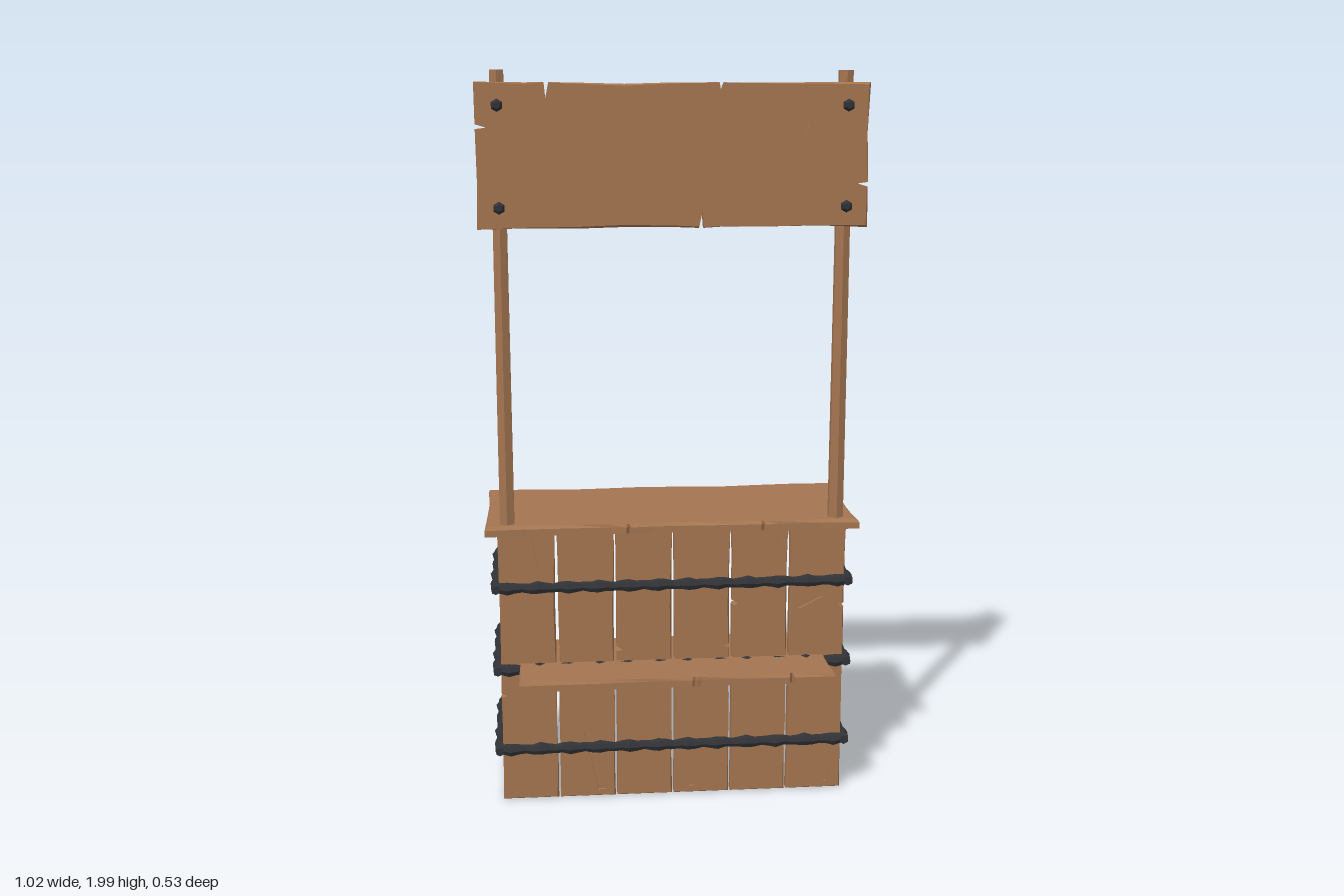
import * as THREE from 'three';
import { mergeGeometries } from 'three/addons/utils/BufferGeometryUtils.js';

const wood = new THREE.MeshStandardMaterial({ color: 0xa47551 });
wood.name = 'wood';
const iron = new THREE.MeshStandardMaterial({ color: 0x303236 });
iron.name = 'dark iron';

// small seeded random
let seed = 7;
const rand = () => {
  seed = (seed * 16807) % 2147483647;
  return seed / 2147483647;
};

// uneven board outline; notches are [side, position 0..1, depth], sides: 0 bottom, 1 right, 2 top, 3 left
function boardOutline(w, h, jitter, notches) {
  const corners = [[-w / 2, -h / 2], [w / 2, -h / 2], [w / 2, h / 2], [-w / 2, h / 2]];
  const points = [];
  for (let side = 0; side < 4; side++) {
    const a = corners[side], b = corners[(side + 1) % 4];
    const len = Math.hypot(b[0] - a[0], b[1] - a[1]);
    const dir = [(b[0] - a[0]) / len, (b[1] - a[1]) / len];
    const steps = Math.max(1, Math.round(len / 0.12));
    const marks = [];
    for (let i = 0; i < steps; i++) marks.push([i * len / steps, i ? rand() * jitter : 0]);
    for (const [s, t, depth] of notches) {
      if (s !== side) continue;
      const at = t * len, half = 0.006;
      for (let i = marks.length - 1; i > 0; i--) if (Math.abs(marks[i][0] - at) < 0.015) marks.splice(i, 1);
      marks.push([at - half, 0.001], [at + half * 0.4, depth], [at + half, 0.001]);
    }
    marks.sort((p, q) => p[0] - q[0]);
    for (const [d, inset] of marks) {
      points.push(new THREE.Vector2(a[0] + dir[0] * d - dir[1] * inset, a[1] + dir[1] * d + dir[0] * inset));
    }
  }
  return points;
}

// board lying in xy, thickness along z, worn front rim, optional sunken cracks
function board(name, w, h, depth, { jitter = 0.003, chip = 0.005, notches = [], cracks = [] } = {}) {
  const outline = boardOutline(w, h, jitter, notches);
  const skin = Math.min(0.008, depth * 0.4);
  const layer = (thickness, holes) => {
    const shape = new THREE.Shape(outline);
    for (const c of holes) shape.holes.push(new THREE.Path(c.map(([x, y]) => new THREE.Vector2(x, y))));
    return new THREE.ExtrudeGeometry(shape, { depth: thickness, bevelEnabled: false });
  };
  const back = layer(depth - skin, []);
  back.translate(0, 0, -depth / 2);
  const front = layer(skin, cracks);
  front.translate(0, 0, depth / 2 - skin);
  const p = front.attributes.position;
  for (let i = 0; i < p.count; i++) {
    if (p.getZ(i) < depth / 2 - 1e-4) continue;
    const x = p.getX(i), y = p.getY(i);
    const wear = chip * (0.55 + 0.45 * Math.sin(x * 41 + y * 67));
    if (Math.abs(x) > w / 2 - jitter - 0.002) p.setX(i, x - Math.sign(x) * wear);
    if (Math.abs(y) > h / 2 - jitter - 0.002) p.setY(i, y - Math.sign(y) * wear);
  }
  const geometry = mergeGeometries([back, front]);
  geometry.computeVertexNormals();
  const mesh = new THREE.Mesh(geometry, wood);
  mesh.name = name;
  return mesh;
}

// faceted iron rod along y with swollen joints
function ironRod(name, length) {
  const joints = Math.round(length / 0.085);
  const rows = joints * 4;
  const g = new THREE.CylinderGeometry(1, 1, length, 7, rows);
  const p = g.attributes.position;
  for (let i = 0; i < p.count; i++) {
    const row = Math.round((p.getY(i) / length + 0.5) * rows);
    const r = row % 4 === 2 ? 0.018 : row % 4 === 0 ? 0.0125 : 0.0145;
    const wobble = Math.sin(row * 2.3) * 0.0015;
    p.setX(i, p.getX(i) * r + wobble);
    p.setZ(i, p.getZ(i) * r);
  }
  const flat = g.toNonIndexed();
  flat.computeVertexNormals();
  const mesh = new THREE.Mesh(flat, iron);
  mesh.name = name;
  return mesh;
}

function facetedCylinder(name, rTop, rBottom, height, sides, material) {
  const g = new THREE.CylinderGeometry(rTop, rBottom, height, sides).toNonIndexed();
  g.computeVertexNormals();
  const mesh = new THREE.Mesh(g, material);
  mesh.name = name;
  return mesh;
}

export function createModel() {
  const model = new THREE.Group();
  model.name = 'market stall';
  const place = (mesh, x, y, z) => {
    mesh.position.set(x, y, z);
    model.add(mesh);
    return mesh;
  };

  // front wall of six planks
  const H = 0.782, midY = 0.006 + H / 2;
  const frontCracks = [
    [[[0.015, 0.37], [0.03, 0.29], [0.022, 0.37]]],
    [[[0.03, -0.37], [-0.01, -0.2], [-0.004, -0.2], [0.05, -0.37]], [[-0.06, 0.37], [-0.05, 0.3], [-0.045, 0.37]]],
    [[[0.07, -0.12], [0.03, -0.11], [0.07, -0.135]]],
    [[[-0.035, -0.37], [-0.015, -0.33], [-0.02, -0.37]]],
    [[[0.03, 0.37], [0.045, 0.33], [0.05, 0.37]]],
    [[[-0.06, 0.17], [0.02, 0.185], [-0.05, 0.15]], [[0.03, -0.37], [0.045, -0.31], [0.04, -0.37]]],
  ];
  frontCracks.forEach((cracks, i) => {
    const notches = i % 2 ? [[1, 0.35 + i * 0.07, 0.02]] : [[3, 0.6 - i * 0.08, 0.018]];
    place(board('frontPlank', 0.1555, H, 0.03, { cracks, notches }), -0.4 + i * 0.16, midY, 0.104);
  });

  // side walls
  for (const side of [-1, 1]) {
    const wall = new THREE.Group();
    wall.name = side > 0 ? 'leftWall' : 'rightWall';
    const spans = [[-0.245, -0.085], [-0.081, 0.071], [0.075, 0.089]];
    spans.forEach(([z0, z1], i) => {
      const cracks = i === 1
        ? [[[-side * 0.03, 0.2], [side * 0.055, -0.36], [side * 0.045, -0.36]]]
        : i === 0 ? [[[-side * 0.07, 0.13], [-side * 0.03, 0.12], [-side * 0.07, 0.115]]] : [];
      const plank = board('sidePlank', z1 - z0, H, 0.03, { jitter: 0.002, chip: 0.003, cracks });
      plank.rotation.y = side * Math.PI / 2;
      plank.position.set(side * 0.461, midY, (z0 + z1) / 2);
      wall.add(plank);
    });
    model.add(wall);
  }

  // counter top
  const counter = board('counterTop', 1.02, 0.41, 0.026, {
    jitter: 0.008, chip: 0.012, notches: [[0, 0.38, 0.012], [0, 0.74, 0.012]],
  });
  counter.rotation.x = -Math.PI / 2;
  place(counter, 0, 0.793, -0.064);

  // shelf running through the front wall
  const shelf = board('shelf', 0.855, 0.335, 0.026, {
    jitter: 0.006, chip: 0.006, notches: [[0, 0.55, 0.01], [0, 0.86, 0.02]],
  });
  shelf.rotation.x = -Math.PI / 2;
  place(shelf, 0.002, 0.397, 0.098);

  // iron bands wrapped round three sides
  for (const y of [0.16, 0.395, 0.63]) {
    const front = place(ironRod('frontBand', 0.99), 0, y, 0.127);
    front.rotation.z = Math.PI / 2;
    for (const side of [-1, 1]) {
      const rod = place(ironRod('sideBand', 0.375), side * 0.483, y, -0.047);
      rod.rotation.x = Math.PI / 2;
    }
  }

  // posts and sign bolts
  for (const side of [-1, 1]) {
    place(facetedCylinder('post', 0.0205, 0.0225, 1.21, 6, wood), side * 0.45, 1.395, 0.097);
    for (const y of [1.655, 1.912]) {
      const bolt = place(facetedCylinder('signBolt', 0.009, 0.017, 0.014, 6, iron), side * 0.45, y, 0.15);
      bolt.rotation.x = Math.PI / 2;
    }
  }

  // sign board
  const sign = board('signBoard', 1.015, 0.37, 0.028, {
    jitter: 0.007, chip: 0.006,
    notches: [[0, 0.57, 0.045], [2, 0.82, 0.04], [2, 0.38, 0.025], [3, 0.3, 0.03], [1, 0.3, 0.03]],
    cracks: [[[0.335, 0.05], [0.362, 0.16], [0.35, 0.08]]],
  });
  place(sign, 0, 1.785, 0.13);

  return model;
}
